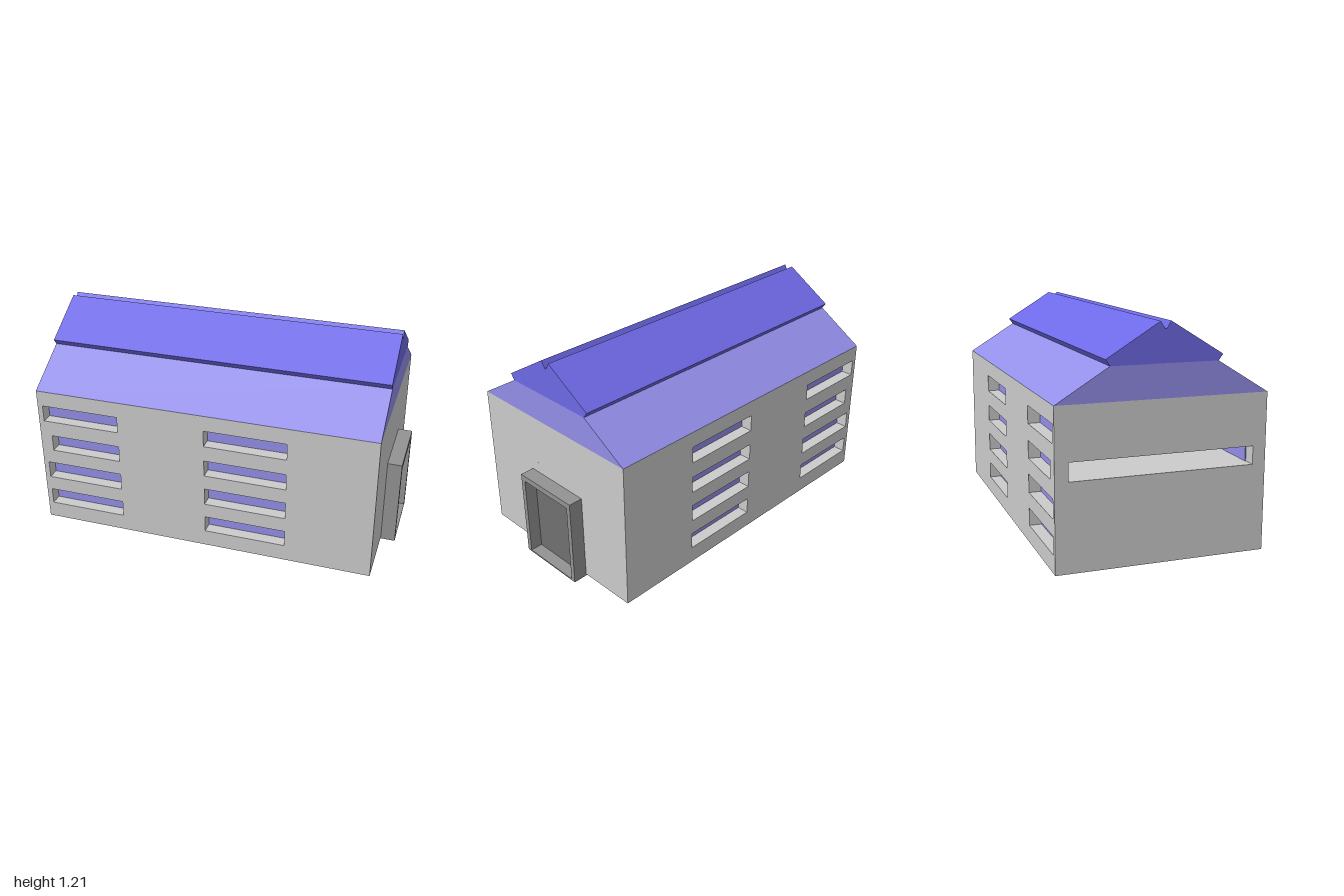
import * as THREE from 'three';

const material = (color) => new THREE.MeshStandardMaterial({ color, flatShading: true });

export function createModel() {
  const group = new THREE.Group();
  const wall = material(0xcccccc);
  const frame = material(0x939393);
  const doorGrey = material(0x707070);
  const lowerBlue = material(0x938ee8);
  const upperBlue = material(0x6e69e6);

  const add = (name, geometry, mat) => {
    const mesh = new THREE.Mesh(geometry, mat);
    mesh.name = name;
    group.add(mesh);
    return mesh;
  };
  // Box given by its limits on each axis
  const box = (name, mat, [x0, x1], [y0, y1], [z0, z1]) =>
    add(name, new THREE.BoxGeometry(x1 - x0, y1 - y0, z1 - z0), mat)
      .position.set((x0 + x1) / 2, (y0 + y1) / 2, (z0 + z1) / 2);
  const outline = (points) => points.map(([x, y]) => new THREE.Vector2(x, y));
  const rect = ([x0, x1], [y0, y1]) => outline([[x0, y0], [x1, y0], [x1, y1], [x0, y1]]);

  const X = [-1, 0.92], base = 0.01, eave = 0.84;
  const half = 0.555, inner = 0.485;

  // Window rows; the second row starts further from the corner
  const rows = [[0.105, 0.2], [0.285, 0.385], [0.47, 0.565], [0.655, 0.75]];
  const windows = rows.flatMap((y, i) => [
    { x: [i === 2 ? -0.93 : -0.97, -0.52], y },
    { x: [-0.02, 0.44], y },
  ]);

  // Solid core, with a deep horizontal slot open at the far end
  const [slotLow, slotHigh] = rows[2];
  box('lowerCore', wall, X, [base, slotLow], [-inner, inner]);
  box('middleCore', wall, [-0.52, X[1]], [slotLow, slotHigh], [-inner, inner]);
  box('upperCore', wall, X, [slotHigh, eave], [-inner, inner]);

  // Long walls with window openings, and a glass panel in each recess
  const face = new THREE.Shape(rect(X, [base, eave]));
  windows.forEach((w) => face.holes.push(new THREE.Path(rect(w.x, w.y))));
  const wallGeometry = new THREE.ExtrudeGeometry(face, { depth: half - inner, bevelEnabled: false });
  for (const [side, s] of [['front', 1], ['back', -1]]) {
    add(side + 'Wall', wallGeometry, wall).position.z = s > 0 ? inner : -half;
    windows.forEach((w) =>
      box(side + 'Window', lowerBlue, w.x, w.y, s > 0 ? [inner - 0.005, inner + 0.004] : [-inner - 0.004, -inner + 0.005]));
  }

  // Roof: cross-sections (z, y) extruded along x
  const roof = (name, points, mat) => {
    const geometry = new THREE.ExtrudeGeometry(new THREE.Shape(outline(points)), {
      depth: X[1] - X[0], bevelEnabled: false,
    });
    geometry.rotateY(Math.PI / 2);
    add(name, geometry, mat).position.x = X[0];
  };
  roof('lowerRoof', [[-half, eave], [half, eave], [0.28, 1.01], [-0.28, 1.01]], lowerBlue);
  roof('upperRoof', [
    [-0.28, 1.01], [0.28, 1.01], [0.303, 1.042], [0.027, 1.212],
    [0.004, 1.175], [-0.004, 1.175], [-0.027, 1.212], [-0.303, 1.042],
  ], upperBlue);

  // Doorway on the right end: posts, lintel, threshold and recessed door
  const doorX = [0.9, 1], doorZ = [-0.222, 0.185];
  box('doorPost', frame, doorX, [0.005, 0.505], [doorZ[0], -0.195]);
  box('doorPost', frame, doorX, [0.005, 0.505], [0.157, doorZ[1]]);
  box('doorLintel', frame, doorX, [0.472, 0.505], [-0.195, 0.157]);
  box('threshold', frame, [0.885, 1], [0, 0.008], doorZ);
  box('door', doorGrey, [0.9, 0.93], [0.008, 0.472], [-0.195, 0.157]);

  return group;
}
